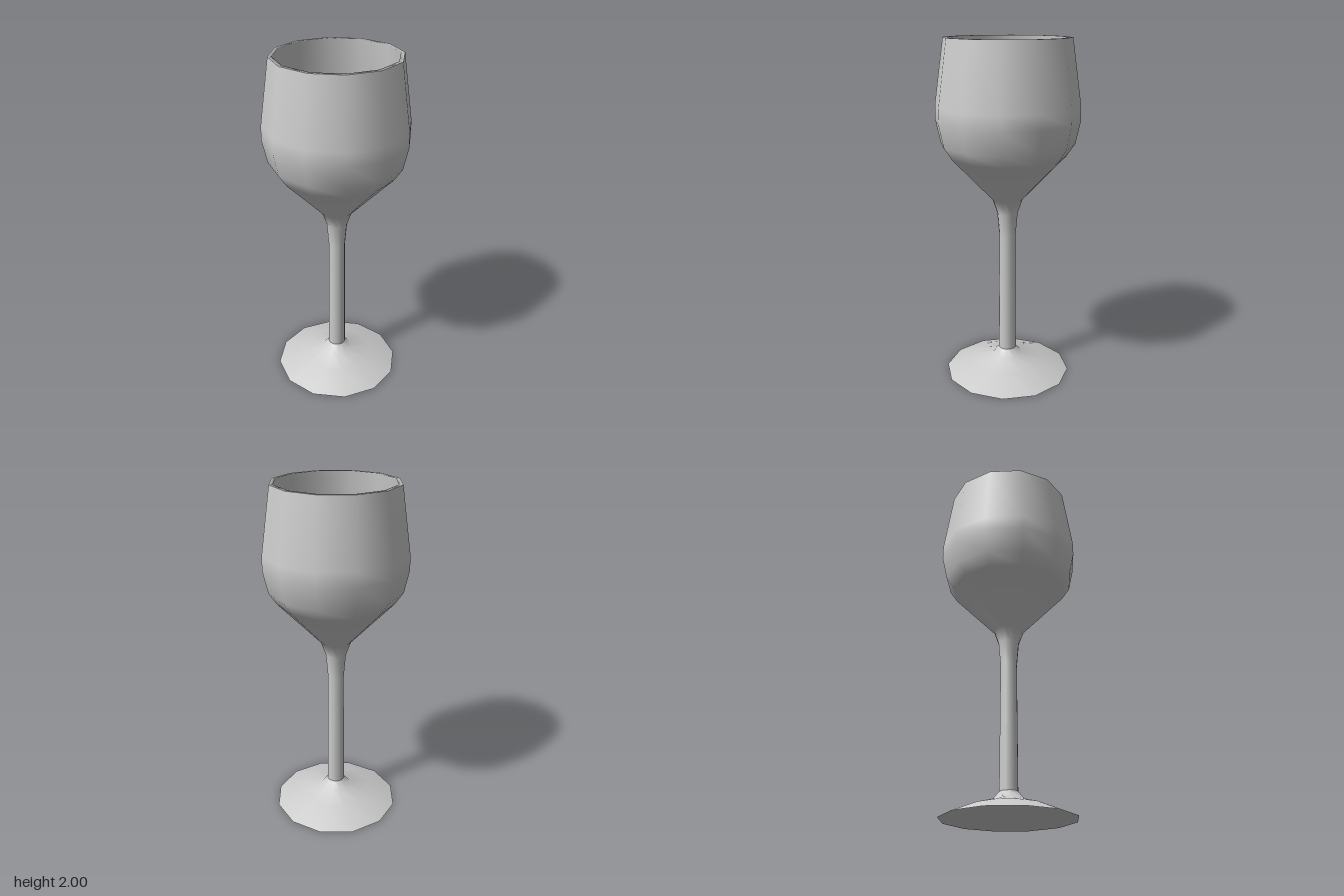
import * as THREE from 'three';

const SIDES = 12;
const material = new THREE.MeshStandardMaterial({ color: 0xcccccc, side: THREE.DoubleSide });

// Revolve [radius, height] pairs around the vertical axis
function turned(name, profile) {
  const points = profile.map(([r, y]) => new THREE.Vector2(r, y));
  const mesh = new THREE.Mesh(new THREE.LatheGeometry(points, SIDES), material);
  mesh.name = name;
  return mesh;
}

export function createModel() {
  const glass = new THREE.Group();
  glass.name = 'wineGlass';

  // Thin flared foot, hollow underneath
  glass.add(turned('foot', [[0.375, 0], [0.215, 0.065], [0.09, 0.1], [0.052, 0.145]]));

  // Slim stem flowing into the outside of the bowl
  glass.add(turned('stemAndBowl', [
    [0.052, 0.145], [0.05, 0.5], [0.048, 0.87], [0.06, 1.01], [0.088, 1.09],
    [0.335, 1.35], [0.382, 1.42], [0.41, 1.55], [0.409, 1.63], [0.355, 2],
  ]));

  // Flat lip and the inner wall down to the closed bottom
  glass.add(turned('bowlInside', [
    [0.355, 2], [0.333, 2], [0.386, 1.63], [0.387, 1.56],
    [0.36, 1.435], [0.316, 1.37], [0.17, 1.215], [0, 1.16],
  ]));

  return glass;
}
